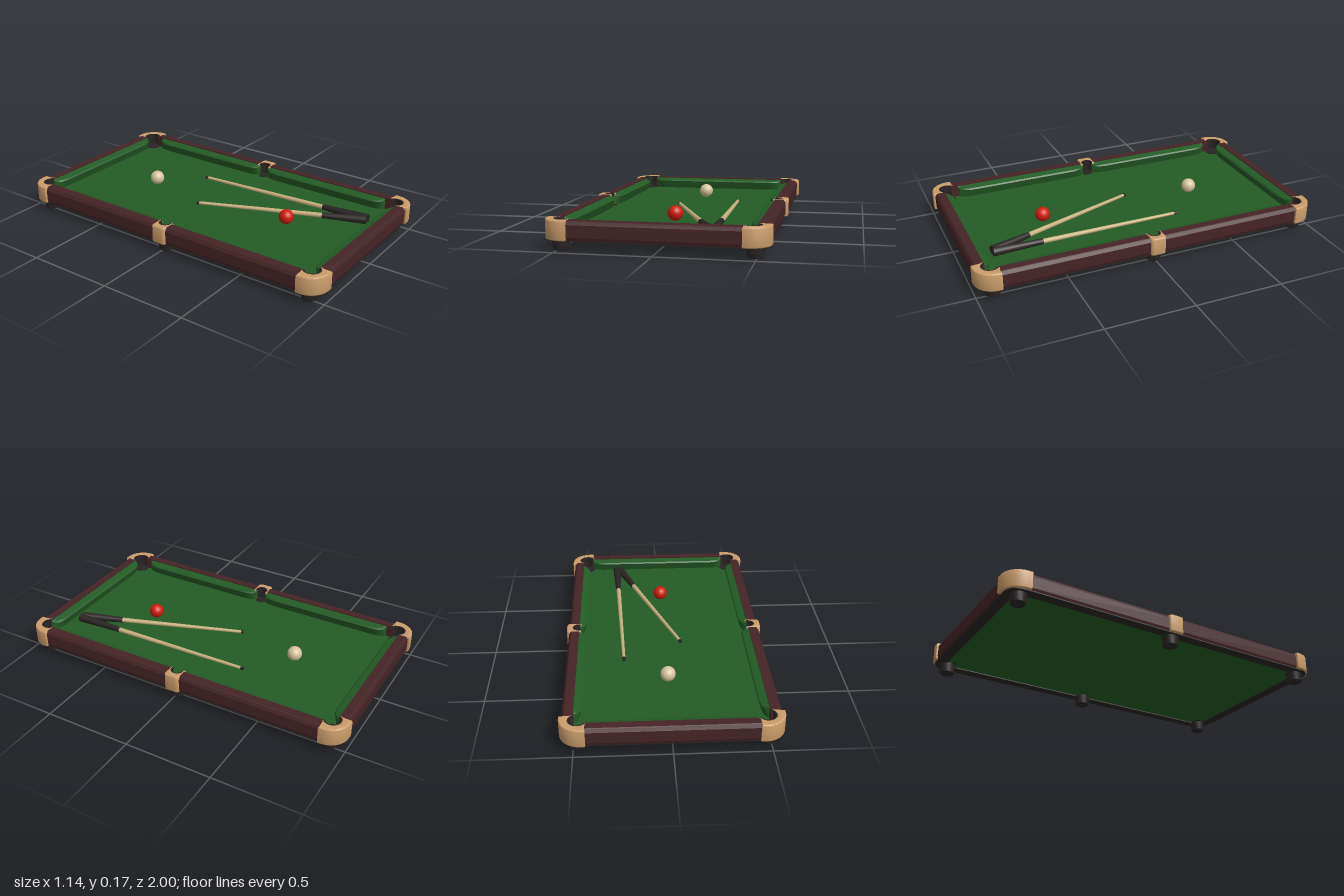
import * as THREE from 'three';
import { toCreasedNormals } from 'three/addons/utils/BufferGeometryUtils.js';

const mat = (name, color, side = THREE.FrontSide) => {
  const m = new THREE.MeshStandardMaterial({ color, side });
  m.name = name;
  return m;
};

const TOP = 0.158, BOTTOM = 0.057, CLOTH = 0.088;

export function createModel() {
  const felt = mat('green felt', 0x235c25);
  const wood = mat('dark mahogany', 0x452426);
  const tan = mat('tan casting', 0xcb9d6b);
  const black = mat('black', 0x2a2424, THREE.DoubleSide);
  const red = mat('red ball', 0xd01c0a);
  const ivory = mat('ivory ball', 0xd6c49c);
  const maple = mat('maple cue', 0xc6b07c);

  const model = new THREE.Group();
  model.name = 'billiardTable';
  const add = (name, geometry, material, x = 0, y = 0, z = 0, parent = model) => {
    const mesh = new THREE.Mesh(geometry, material);
    mesh.name = name;
    mesh.position.set(x, y, z);
    parent.add(mesh);
    return mesh;
  };

  // Playing bed and the frame beneath the rails
  add('bed', new THREE.BoxGeometry(1.0, CLOTH - 0.06, 1.87), felt, 0, (CLOTH + 0.06) / 2, 0);
  const rect = (target, w, d) => target.setFromPoints(
    [[-w, -d], [w, -d], [w, d], [-w, d]].map(([x, y]) => new THREE.Vector2(x, y)));
  const under = new THREE.Shape();
  const r = 0.09, w = 0.555, d = 0.985;
  under.moveTo(-w + r, -d);
  under.lineTo(w - r, -d).quadraticCurveTo(w, -d, w, -d + r);
  under.lineTo(w, d - r).quadraticCurveTo(w, d, w - r, d);
  under.lineTo(-w + r, d).quadraticCurveTo(-w, d, -w, d - r);
  under.lineTo(-w, -d + r).quadraticCurveTo(-w, -d, -w + r, -d);
  under.holes.push(rect(new THREE.Path(), 0.495, 0.925));
  const underGeo = new THREE.ExtrudeGeometry(under, { depth: 0.006, bevelEnabled: false });
  underGeo.rotateX(Math.PI / 2);
  add('underFrame', underGeo, black, 0, 0.06, 0);

  // Rail: bevelled profile run along z, local +x pointing outward
  const railGeometry = (length) => {
    const profile = new THREE.Shape([
      [0, BOTTOM], [0.053, BOTTOM], [0.06, 0.075], [0.06, 0.138], [0.05, 0.155], [0.045, TOP], [0, TOP],
    ].map(([x, y]) => new THREE.Vector2(x, y)));
    const g = new THREE.ExtrudeGeometry(profile, { depth: length, bevelEnabled: false });
    g.translate(0, 0, -length / 2);
    return g;
  };

  // Cushion: undercut nose whose depth tapers away in a curve at each end
  const cushionGeometry = (length) => {
    const profile = [[0, 0.153], [0.04, 0.144], [0.047, 0.136], [0.03, CLOTH], [0, CLOTH]];
    const flare = 0.09, steps = 8, sections = [];
    for (let k = 0; k <= steps; k++) {
      const a = (k / steps) * Math.PI / 2;
      sections.push([-length / 2 + flare * (1 - Math.cos(a)), Math.sin(a)]);
    }
    for (let k = steps; k >= 0; k--) sections.push([-sections[k][0], sections[k][1]]);
    const positions = [], index = [], n = profile.length;
    sections.forEach(([z, s]) => profile.forEach(([p, y]) => positions.push(-p * s, y, z)));
    for (let i = 0; i < sections.length - 1; i++) {
      for (let j = 0; j < n - 1; j++) {
        const a = i * n + j, c = a + n;
        index.push(a, a + 1, c, a + 1, c + 1, c);
      }
    }
    const g = new THREE.BufferGeometry();
    g.setAttribute('position', new THREE.Float32BufferAttribute(positions, 3));
    g.setIndex(index);
    return toCreasedNormals(g, 0.45);
  };

  const side = (name, x, railZ, railLen, cushionZ, cushionLen, turn) => {
    add(name + 'Rail', railGeometry(railLen), wood, x, 0, railZ).rotation.y = turn;
    add(name + 'Cushion', cushionGeometry(cushionLen), felt, x, 0, cushionZ).rotation.y = turn;
  };
  for (const s of [1, -1]) {
    side(s > 0 ? 'front' : 'back', 0, s * 0.93, 0.89, s * 0.93, 0.88, -s * Math.PI / 2);
    for (const e of [1, -1]) {
      side((s > 0 ? 'left' : 'right') + (e > 0 ? 'Front' : 'Back'),
        s * 0.497, e * 0.455, 0.85, e * 0.433, 0.81, s > 0 ? 0 : Math.PI);
    }
  }

  // Pocket casting: plan outline with a round bite, extruded downward with soft edges
  const arc = (cx, cz, radius, from, to, n) => Array.from({ length: n + 1 }, (_, i) => {
    const a = THREE.MathUtils.degToRad(from + (to - from) * i / n);
    return [cx + radius * Math.cos(a), cz + radius * Math.sin(a)];
  });
  const casting = (name, outline, sx, sz) => {
    const shape = new THREE.Shape(outline.map(([x, z]) => new THREE.Vector2(x * sx, z * sz)));
    const b = 0.007;
    const g = new THREE.ExtrudeGeometry(shape, {
      depth: TOP - BOTTOM + 0.002 - 2 * b, bevelEnabled: true, bevelThickness: b,
      bevelSize: b, bevelOffset: -b, bevelSegments: 3,
    });
    g.rotateX(Math.PI / 2);
    add(name, toCreasedNormals(g, 0.6), tan, 0, TOP + 0.002 - b, 0);
  };
  // Black cup floor and lining around the closed side of the pocket
  const pocket = (name, outline, x, z, sx, sz, radius) => {
    add(name + 'Cup', new THREE.CylinderGeometry(radius, radius, 0.032, 28), black, x * sx, 0.075, z * sz);
    const ring = new THREE.Shape(outline.map(([px, pz]) => new THREE.Vector2(px * sx, pz * sz)));
    const g = new THREE.ExtrudeGeometry(ring, { depth: TOP - CLOTH + 0.001, bevelEnabled: false });
    g.rotateX(Math.PI / 2);
    add(name + 'Lining', g, black, 0, TOP + 0.001, 0);
  };

  const cornerOutline = [
    [0.435, 1.0], ...arc(0.46, 0.89, 0.11, 88, 2, 14), [0.57, 0.87], [0.497, 0.87],
    ...arc(0.475, 0.908, 0.046, -50, 150, 18), [0.435, 0.93],
  ];
  const cornerLining = [...arc(0.475, 0.908, 0.053, -55, 150, 18), ...arc(0.475, 0.908, 0.043, 150, -55, 18)];
  const sideOutline = [
    [0.485, -0.045], ...arc(0.552, -0.027, 0.018, -90, 0, 5), ...arc(0.552, 0.027, 0.018, 0, 90, 5),
    [0.485, 0.045], ...arc(0.5, 0, 0.033, 110, -110, 14),
  ];
  const sideLining = [...arc(0.5, 0, 0.039, -105, 105, 14), ...arc(0.5, 0, 0.03, 105, -105, 14)];

  // Tapered foot
  const foot = new THREE.LatheGeometry([[0, 0], [0.036, 0], [0.041, 0.005], [0.047, 0.058], [0, 0.058]]
    .map(([x, y]) => new THREE.Vector2(x, y)), 20);
  const footGeo = toCreasedNormals(foot, 0.5);

  for (const sx of [1, -1]) {
    const lr = sx > 0 ? 'left' : 'right';
    for (const sz of [1, -1]) {
      const name = lr + (sz > 0 ? 'Front' : 'Back');
      casting(name + 'CornerCasting', cornerOutline, sx, sz);
      pocket(name + 'Pocket', cornerLining, 0.475, 0.908, sx, sz, 0.046);
      add(name + 'Foot', footGeo, black, sx * 0.488, 0, sz * 0.908);
    }
    casting(lr + 'SideCasting', sideOutline, sx, 1);
    pocket(lr + 'SidePocket', sideLining, 0.5, 0, sx, 1, 0.034);
    add(lr + 'MiddleFoot', footGeo, black, sx * 0.495, 0, 0);
  }

  // Balls
  const ball = new THREE.SphereGeometry(0.042, 28, 18);
  add('redBall', ball, red, 0, CLOTH + 0.041, 0.468);
  add('cueBall', ball, ivory, 0, CLOTH + 0.041, -0.472);

  // Cues: dark tip, pale shaft and thick black butt lying on the cloth
  const cue = (name, tip, butt, split) => {
    const group = new THREE.Group();
    group.name = name;
    model.add(group);
    const a = new THREE.Vector3(tip[0], CLOTH + 0.01, tip[1]);
    const b = new THREE.Vector3(butt[0], CLOTH + 0.026, butt[1]);
    const dir = b.clone().sub(a).normalize();
    const piece = (part, t0, t1, r0, r1, material) => {
      const p = a.clone().lerp(b, t0), q = a.clone().lerp(b, t1);
      const mid = p.clone().add(q).multiplyScalar(0.5);
      const mesh = add(part, new THREE.CylinderGeometry(r1, r0, p.distanceTo(q), 14), material,
        mid.x, mid.y, mid.z, group);
      mesh.quaternion.setFromUnitVectors(new THREE.Vector3(0, 1, 0), dir);
    };
    piece('cueTip', 0, 0.015, 0.01, 0.01, black);
    piece('cueShaft', 0.015, split, 0.009, 0.014, maple);
    piece('cueButt', split, 1, 0.016, 0.025, black);
  };
  cue('leaningCue', [-0.095, -0.09], [0.255, 0.838], 0.75);
  cue('straightCue', [0.238, -0.27], [0.276, 0.84], 0.745);

  return model;
}
